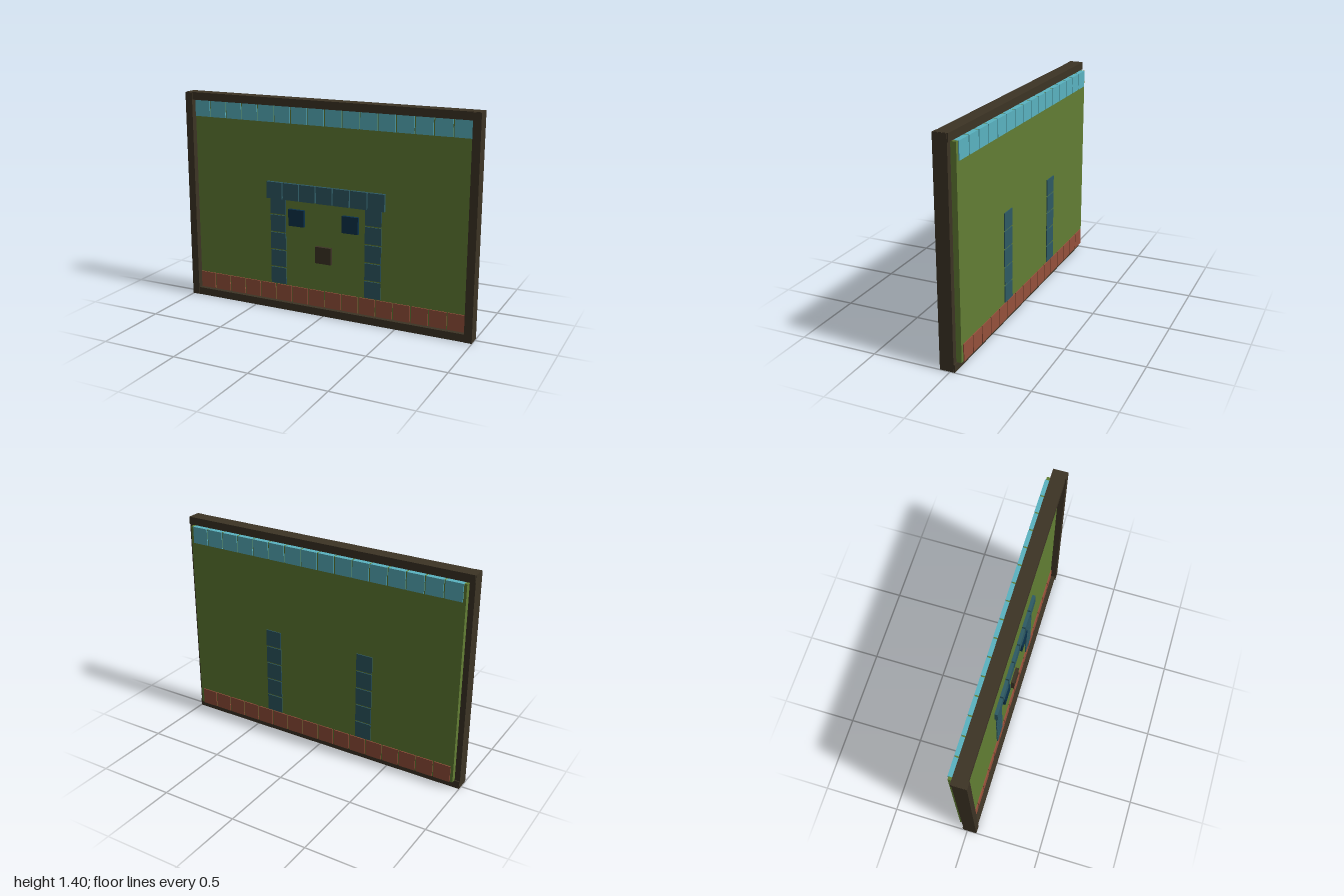
import * as THREE from 'three';

const mat = (name, color) => {
  const m = new THREE.MeshStandardMaterial({ color });
  m.name = name;
  return m;
};

export function createModel() {
  const wood = mat('dark wood', 0x3d3425);
  const green = mat('grass green', 0x627e34);
  const sky = mat('sky blue', 0x5ab3c1);
  const brick = mat('brick red', 0x96513b);
  const slate = mat('slate blue', 0x2e5a64);
  const navy = mat('navy', 0x0c324b);

  const model = new THREE.Group();
  model.name = 'framedTilePanel';

  // Box given by its lower and upper limits on each axis
  const box = (name, material, x0, x1, y0, y1, z0, z1, parent = model) => {
    const mesh = new THREE.Mesh(new THREE.BoxGeometry(x1 - x0, y1 - y0, z1 - z0), material);
    mesh.position.set((x0 + x1) / 2, (y0 + y1) / 2, (z0 + z1) / 2);
    mesh.name = name;
    parent.add(mesh);
  };
  const group = (name) => {
    const g = new THREE.Group();
    g.name = name;
    model.add(g);
    return g;
  };

  const TILE = 0.11, PITCH = 0.1187;
  const BACK = -0.064, PANEL = 0.024, FLUSH = 0.031, PROUD = 0.045;
  const tile = (name, material, x, y, z0, z1, parent) =>
    box(name, material, x - TILE / 2, x + TILE / 2, y - TILE / 2, y + TILE / 2, z0, z1, parent);

  // Frame: the posts sit slightly further forward than the rails
  const frame = group('frame');
  for (const s of [-1, 1]) {
    const a = s * 0.95, b = s;
    box('framePost', wood, Math.min(a, b), Math.max(a, b), 0.002, 1.398, -0.024, 0.064, frame);
  }
  box('bottomRail', wood, -0.998, 0.998, 0, 0.05, -0.031, 0.057, frame);
  box('topRail', wood, -0.998, 0.998, 1.35, 1.4, -0.031, 0.057, frame);

  // Backing panel
  box('panel', green, -0.965, 0.965, 0.051, 1.349, -0.058, PANEL);

  // Full-width rows, running right through the panel
  const skyRow = group('skyRow');
  const brickRow = group('brickRow');
  for (let i = 0; i < 16; i++) {
    const x = (i - 7.5) * PITCH - 0.002;
    tile('skyTile', sky, x, 1.295, BACK, FLUSH, skyRow);
    tile('brickTile', brick, x, 0.106, BACK, FLUSH, brickRow);
  }

  // Two pillars, also running through the panel
  const pillars = group('pillars');
  for (const x of [-0.337, 0.333]) {
    for (let i = 0; i < 5; i++) {
      tile('pillarTile', slate, x, 0.222 + i * PITCH, BACK, FLUSH, pillars);
    }
  }

  // Raised lintel across the pillars
  const lintel = group('lintel');
  for (let i = 0; i < 7; i++) {
    tile('lintelTile', slate, (i - 3) * PITCH, 0.8, 0, PROUD, lintel);
  }

  // Raised single tiles on the front
  tile('rightWindow', navy, -0.199, 0.632, 0, PROUD);
  tile('leftWindow', navy, 0.181, 0.632, 0, PROUD);
  tile('centreTile', wood, -0.006, 0.406, 0, PROUD);

  return model;
}
